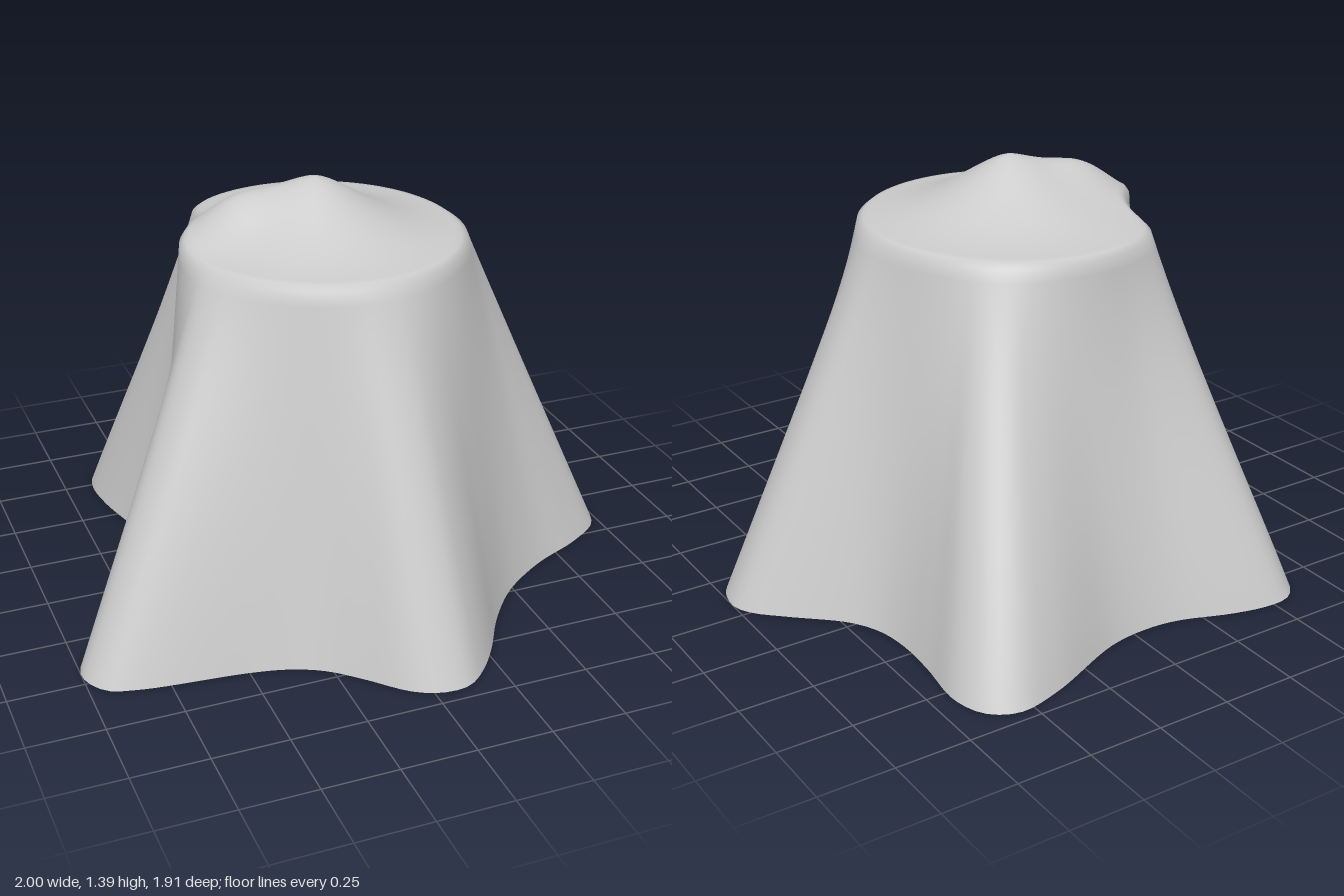
import * as THREE from 'three';

// Hem outline on the floor as [x, z], from the left fold round through the front
const HEM = [
  [1, 0.07], [0.97, 0.19], [0.85, 0.28], [0.66, 0.37], [0.49, 0.49], [0.37, 0.63],
  [0.27, 0.79], [0.2, 0.88], [0.12, 0.945], [0.03, 0.95], [-0.06, 0.91], [-0.18, 0.79],
  [-0.27, 0.71], [-0.37, 0.66], [-0.5, 0.63], [-0.85, 0.59], [-0.95, 0.555], [-1, 0.46],
  [-0.975, 0.37], [-0.87, 0.25], [-0.63, 0.01], [-0.575, -0.09], [-0.56, -0.22], [-0.58, -0.35],
  [-0.64, -0.6], [-0.65, -0.74], [-0.62, -0.83], [-0.56, -0.88], [-0.47, -0.885], [-0.35, -0.86],
  [-0.16, -0.795], [-0.03, -0.785], [0.1, -0.805], [0.4, -0.93], [0.55, -0.96], [0.64, -0.91],
  [0.68, -0.8], [0.66, -0.6], [0.655, -0.45], [0.675, -0.33], [0.73, -0.23], [0.88, -0.09], [0.97, 0],
];
const PEAK = [-0.03, 0];
const SEGMENTS = 180;

// Height of the cloth over the top: a soft peak with a ridge running to the right side
function topHeight(x, z) {
  const r = Math.hypot(x - PEAK[0], z - PEAK[1]);
  const peak = 0.2 * Math.exp(-Math.pow(r / 0.25, 1.6));
  const ridge = 0.085 * Math.exp(-(((x + 0.3) / 0.15) ** 2) - ((z + 0.05) / 0.13) ** 2);
  return 1.19 + peak + ridge;
}

// Round rim of the top, pinched in where the deep fold begins
function rimPoint(angle) {
  let d = angle + 2.69;
  d = Math.atan2(Math.sin(d), Math.cos(d));
  const pinch = 1 - 0.19 * Math.exp(-((d / 0.32) ** 2));
  return [-0.015 + 0.485 * pinch * Math.cos(angle), -0.02 + 0.505 * pinch * Math.sin(angle)];
}

function createCloth() {
  const hem = new THREE.CatmullRomCurve3(HEM.map(([x, z]) => new THREE.Vector3(x, 0, z)), true)
    .getSpacedPoints(SEGMENTS).slice(0, SEGMENTS);
  const columns = hem.map((p) => ({ hem: p, rim: rimPoint(Math.atan2(p.z + 0.02, p.x + 0.015)) }));

  const positions = [];
  // Top: rings growing from the peak to just inside the rim
  const topRings = 24;
  for (let i = 0; i <= topRings; i++) {
    const s = 0.965 * i / topRings + 0.0005;
    for (const { rim } of columns) {
      const x = THREE.MathUtils.lerp(PEAK[0], rim[0], s);
      const z = THREE.MathUtils.lerp(PEAK[1], rim[1], s);
      positions.push(x, topHeight(x, z), z);
    }
  }
  // Skirt: rings dropping from the rim to the hem
  const skirtRings = 28;
  for (let i = 0; i <= skirtRings; i++) {
    const t = THREE.MathUtils.lerp(0.012, 1, i / skirtRings);
    for (const { hem: h, rim } of columns) {
      const sag = 0.2 * t * (1 - t) ** 2 * Math.max(0, -h.z);
      positions.push(
        THREE.MathUtils.lerp(rim[0], h.x, t),
        topHeight(rim[0], rim[1]) * (1 - t),
        THREE.MathUtils.lerp(rim[1], h.z, t) + sag,
      );
    }
  }

  const indices = [];
  const rows = topRings + skirtRings + 2;
  for (let i = 0; i < rows - 1; i++) {
    for (let j = 0; j < SEGMENTS; j++) {
      const k = (j + 1) % SEGMENTS;
      const a = i * SEGMENTS + j, b = i * SEGMENTS + k;
      const c = a + SEGMENTS, d = b + SEGMENTS;
      indices.push(a, b, c, b, d, c);
    }
  }
  const geometry = new THREE.BufferGeometry();
  geometry.setAttribute('position', new THREE.Float32BufferAttribute(positions, 3));
  geometry.setIndex(indices);
  geometry.computeVertexNormals();
  return geometry;
}

export function createModel() {
  const group = new THREE.Group();
  group.name = 'drapedCloth';
  const material = new THREE.MeshStandardMaterial({ color: 0xcccccc, side: THREE.DoubleSide });
  const cloth = new THREE.Mesh(createCloth(), material);
  cloth.name = 'cloth';
  group.add(cloth);
  return group;
}
